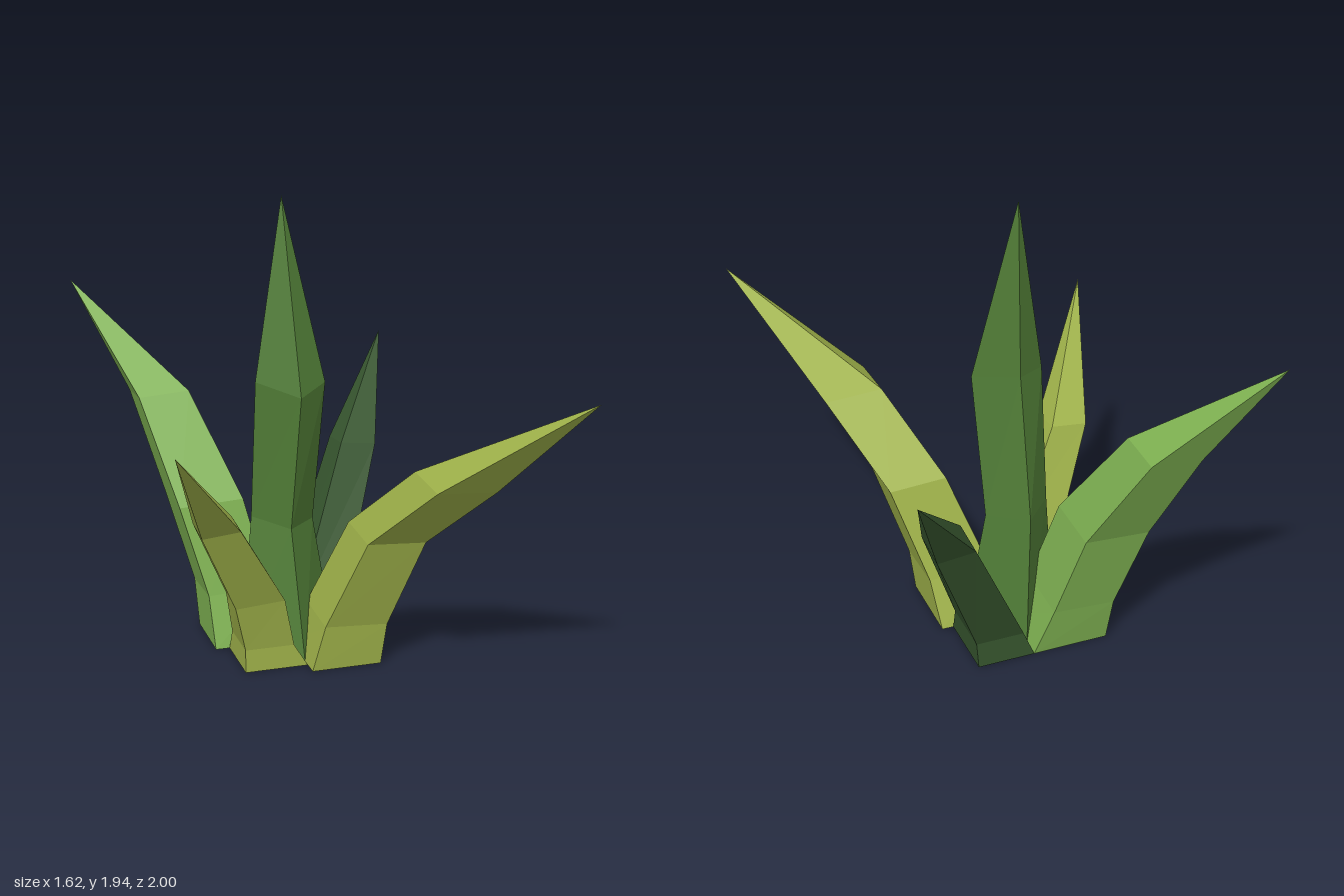
import * as THREE from 'three';

const material = (name, color) => {
  const m = new THREE.MeshStandardMaterial({ color });
  m.name = name;
  return m;
};

// Skins four-cornered rings (counterclockwise from above) into a faceted, pointed leaf
function leaf(name, mat, rings, tip) {
  const pos = [];
  const tri = (...pts) => pts.forEach((p) => pos.push(...p));
  const base = rings[0];
  tri(base[0], base[2], base[1]);
  tri(base[0], base[3], base[2]);
  rings.forEach((r, k) => {
    const up = rings[k + 1];
    for (let i = 0; i < 4; i++) {
      const j = (i + 1) % 4;
      if (up) {
        tri(r[i], r[j], up[j]);
        tri(r[i], up[j], up[i]);
      } else tri(r[i], r[j], tip);
    }
  });
  const geo = new THREE.BufferGeometry();
  geo.setAttribute('position', new THREE.Float32BufferAttribute(pos, 3));
  geo.computeVertexNormals();
  const mesh = new THREE.Mesh(geo, mat);
  mesh.name = name;
  return mesh;
}

// Square ring spanning x0..x1, z0..z1, dipping slightly on the side the leaf leans to
function squareRing([y, x0, x1, z0, z1], tip) {
  const sx = Math.sign(tip[0]), sz = Math.sign(tip[2]);
  const tilt = y > 0.15 ? 0.008 : 0;
  return [[x0, z1, -1, 1], [x1, z1, 1, 1], [x1, z0, 1, -1], [x0, z0, -1, -1]]
    .map(([x, z, a, b]) => [x, y - tilt * (a * sx + b * sz), z]);
}

export function createModel() {
  const olive = material('olive leaf', 0x9fb24a);
  const bright = material('bright green leaf', 0x7fb252);
  const medium = material('medium green leaf', 0x507c36);
  const dark = material('dark green leaf', 0x37562f);

  // Leaning outer leaves: rings are [y, x0, x1, z0, z1]
  const outer = [
    ['frontLeftLeaf', olive, [0.81, 1.3, 1], [
      [0, -0.05, 0.25, -0.15, 0.19], [0.2, 0, 0.27, -0.06, 0.21],
      [0.59, 0.14, 0.39, 0.08, 0.33], [0.89, 0.31, 0.56, 0.4, 0.65]]],
    ['frontRightLeaf', olive, [-0.72, 1.13, 0.66], [
      [0, -0.32, -0.05, -0.15, 0.12], [0.1, -0.32, -0.11, -0.1, 0.12],
      [0.32, -0.37, -0.16, 0, 0.16], [0.69, -0.54, -0.38, 0.15, 0.3]]],
    ['backRightLeaf', bright, [-0.81, 1.48, -1], [
      [0, -0.38, -0.05, -0.45, -0.15], [0.22, -0.39, -0.12, -0.49, -0.22],
      [0.6, -0.49, -0.21, -0.58, -0.31], [1.03, -0.6, -0.38, -0.78, -0.57]]],
    ['backLeftLeaf', dark, [0.62, 1.17, -0.93], [
      [0, -0.05, 0.2, -0.45, -0.15], [0.12, 0, 0.21, -0.45, -0.2],
      [0.75, 0.3, 0.46, -0.68, -0.51]]],
  ];

  const group = new THREE.Group();
  group.name = 'plant';
  for (const [name, mat, tip, rings] of outer) {
    group.add(leaf(name, mat, rings.map((r) => squareRing(r, tip)), tip));
  }

  // Upright centre leaf: diamond rings in the order front, left, back, right
  group.add(leaf('centreLeaf', medium, [
    [[-0.05, 0, 0.08], [0.15, 0, -0.15], [-0.05, 0, -0.37], [-0.28, 0, -0.11]],
    [[-0.07, 0.55, -0.05], [0.06, 0.55, -0.17], [-0.08, 0.58, -0.32], [-0.21, 0.58, -0.18]],
    [[-0.04, 1.13, 0], [0.09, 1.17, -0.09], [-0.07, 1.2, -0.22], [-0.2, 1.18, -0.13]],
  ], [-0.07, 1.94, -0.18]));
  return group;
}
